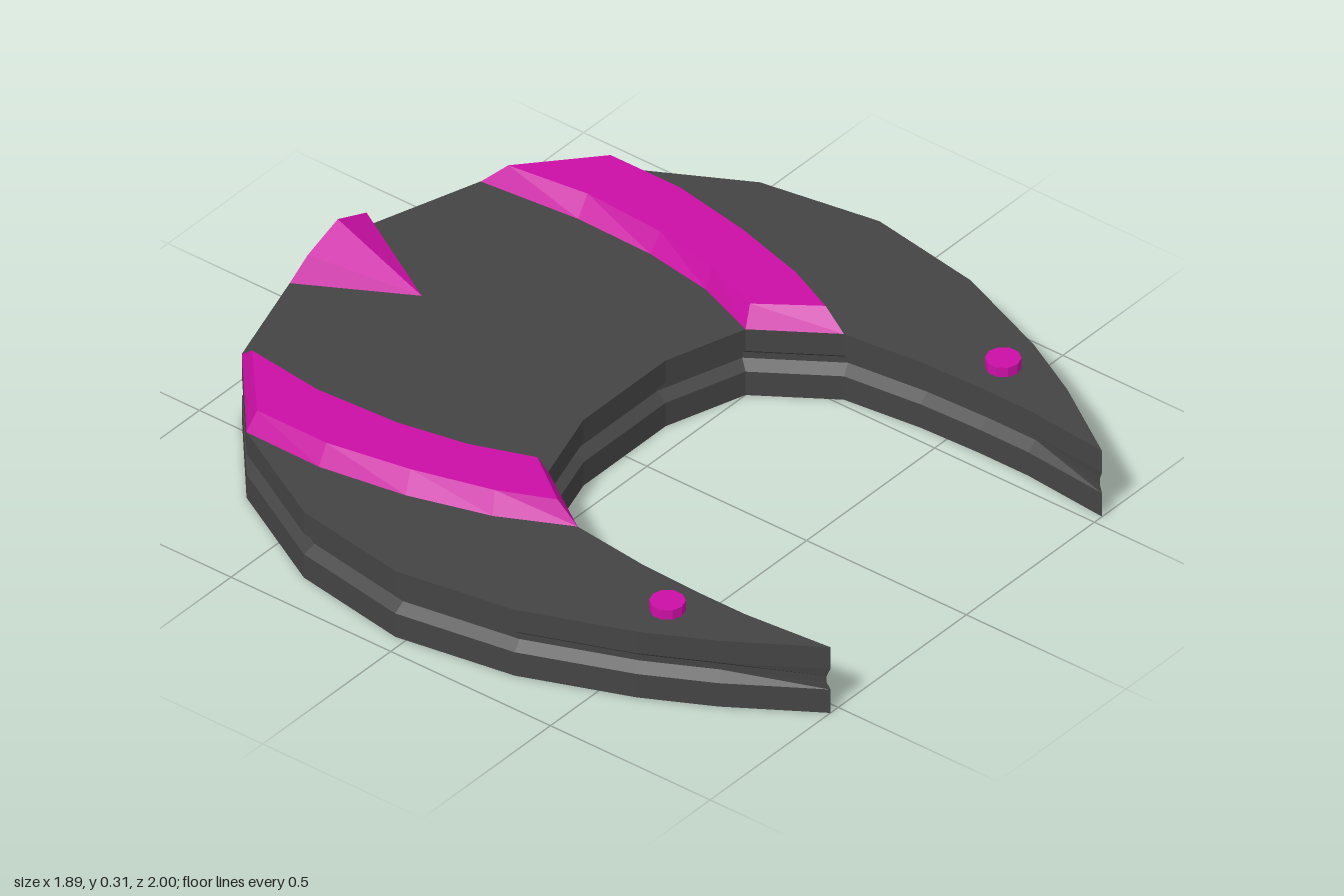
import * as THREE from 'three';
import { ConvexGeometry } from 'three/addons/geometries/ConvexGeometry.js';

const bodyMaterial = new THREE.MeshStandardMaterial({ color: 0x444444, flatShading: true });
bodyMaterial.name = 'charcoal';
const trimMaterial = new THREE.MeshStandardMaterial({ color: 0xcc0fa6, flatShading: true });
trimMaterial.name = 'magenta';

const mirror = (points) => points.map(([x, z]) => [-x, z]).reverse();

// Stack of matching [x, z] outlines at given heights, joined by walls and capped
function loft(layers) {
  const verts = [];
  const put = (layer, i) => verts.push(layer.points[i][0], layer.y, layer.points[i][1]);
  const n = layers[0].points.length;
  for (let k = 0; k + 1 < layers.length; k++) {
    const low = layers[k], high = layers[k + 1];
    for (let i = 0; i < n; i++) {
      const j = (i + 1) % n;
      put(low, i); put(high, j); put(low, j);
      put(low, i); put(high, i); put(high, j);
    }
  }
  const cap = (layer, up) => {
    const contour = layer.points.map(([x, z]) => new THREE.Vector2(x, z));
    for (const [a, b, c] of THREE.ShapeUtils.triangulateShape(contour, [])) {
      put(layer, a); put(layer, up ? c : b); put(layer, up ? b : c);
    }
  };
  cap(layers[0], false);
  cap(layers[layers.length - 1], true);
  const geometry = new THREE.BufferGeometry();
  geometry.setAttribute('position', new THREE.Float32BufferAttribute(verts, 3));
  geometry.computeVertexNormals();
  return geometry;
}

// Shift an outline inwards; sharp tips barely move
function inset(points, d) {
  const n = points.length;
  const normal = (a, b) => new THREE.Vector2(a[1] - b[1], b[0] - a[0]).normalize();
  return points.map((p, i) => {
    const n1 = normal(points[(i + n - 1) % n], p);
    const n2 = normal(p, points[(i + 1) % n]);
    const dot = n1.dot(n2);
    const s = n1.add(n2).multiplyScalar(d / Math.max(1 + dot, 0.2));
    if (dot < -0.3) s.setLength(0.01);
    return [p[0] + s.x, p[1] + s.y];
  });
}

export function createModel() {
  const model = new THREE.Group();
  model.name = 'crescentPlate';
  const add = (name, geometry, material) => {
    const mesh = new THREE.Mesh(geometry, material);
    mesh.name = name;
    model.add(mesh);
    return mesh;
  };

  // Crescent body with a groove running round its edge
  const half = [
    [0.16, -0.99], [0.465, -0.895], [0.715, -0.68], [0.89, -0.36], [0.945, -0.03],
    [0.89, 0.30], [0.775, 0.59], [0.68, 0.77], [0.53, 1],
    [0.552, 0.75], [0.552, 0.6], [0.545, 0.42], [0.52, 0.20], [0.385, 0], [0.16, 0.07 - 0.14],
  ];
  const outline = [[0, -1], ...half, ...mirror(half)];
  const groove = inset(outline, 0.03);
  add('crescentBody', loft([
    { points: outline, y: 0 }, { points: outline, y: 0.07 },
    { points: groove, y: 0.09 }, { points: groove, y: 0.108 },
    { points: outline, y: 0.132 }, { points: outline, y: 0.197 },
  ]), bodyMaterial);

  // Curved raised bands with bevelled sides
  const bandBase = [
    [0.466, -0.894], [0.716, -0.68], [0.719, -0.45], [0.68, -0.21], [0.615, 0.01],
    [0.52, 0.20], [0.385, 0], [0.455, -0.18], [0.487, -0.38], [0.492, -0.61],
  ];
  const bandTop = [
    [0.50, -0.835], [0.69, -0.667], [0.69, -0.45], [0.648, -0.22], [0.588, -0.005],
    [0.523, 0.14], [0.415, -0.01], [0.478, -0.18], [0.515, -0.37], [0.528, -0.61],
  ];
  for (const [side, flip] of [['left', (p) => p], ['right', mirror]]) {
    add(side + 'Band', loft([
      { points: flip(bandBase), y: 0.197 }, { points: flip(bandTop), y: 0.253 },
    ]), trimMaterial);
  }

  // Faceted wedge at the middle of the back
  add('backWedge', new ConvexGeometry([
    [0, 0.197, -0.705], [0, 0.197, -1], [0.16, 0.197, -0.99], [-0.16, 0.197, -0.99],
    [0.115, 0.265, -0.97], [-0.115, 0.265, -0.97], [0, 0.31, -0.968],
  ].map((p) => new THREE.Vector3(...p))), trimMaterial);

  // Small round studs near the tips
  for (const s of [1, -1]) {
    add(s > 0 ? 'leftStud' : 'rightStud',
      new THREE.CylinderGeometry(0.045, 0.045, 0.035, 10), trimMaterial)
      .position.set(s * 0.655, 0.2075, 0.59);
  }
  return model;
}
